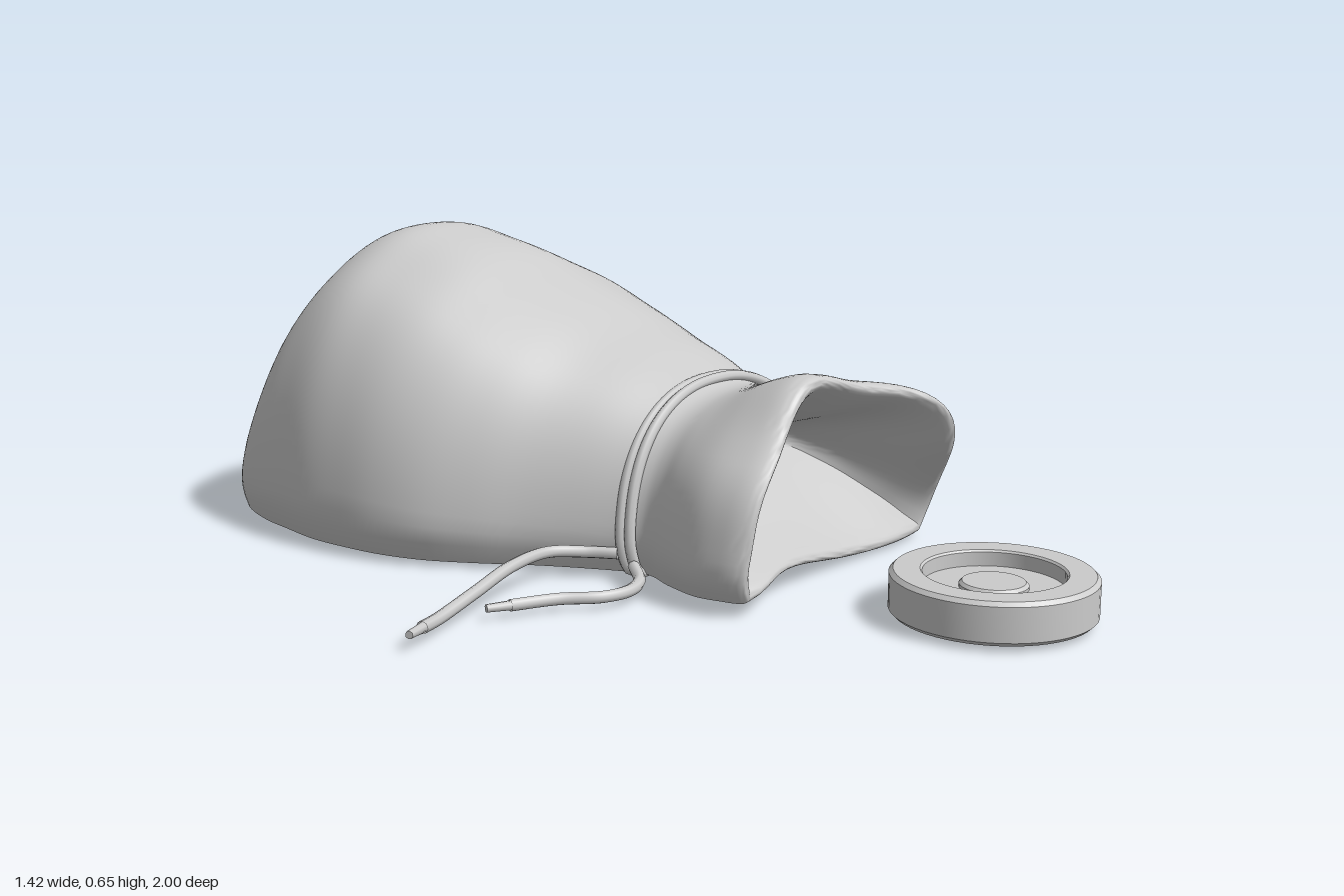
import * as THREE from 'three';
import { toCreasedNormals } from 'three/addons/utils/BufferGeometryUtils.js';

const grey = new THREE.MeshStandardMaterial({ color: 0xcccccc, side: THREE.DoubleSide });
const { smoothstep, lerp } = THREE.MathUtils;

// Cross-sections from the closed end to the lip, then back inside the mouth.
// Each: z, min x, max x, top y, peak x, floor y
const ROWS = [
  [-1.0, 0.01, 0.01, 0.07, 0.01, 0.07],
  [-0.995, -0.1, 0.1, 0.125, 0.01, 0.02],
  [-0.965, -0.175, 0.18, 0.195, 0.02, 0.015],
  [-0.9, -0.245, 0.29, 0.32, 0.04, 0.015],
  [-0.8, -0.3, 0.46, 0.505, 0.07, 0.015],
  [-0.7, -0.33, 0.62, 0.615, 0.08, 0.015],
  [-0.6, -0.355, 0.68, 0.656, 0.08, 0.015],
  [-0.5, -0.36, 0.705, 0.64, 0.08, 0.015],
  [-0.4, -0.355, 0.71, 0.61, 0.09, 0.015],
  [-0.3, -0.33, 0.69, 0.56, 0.11, 0.015],
  [-0.2, -0.28, 0.66, 0.51, 0.13, 0.015],
  [-0.1, -0.22, 0.62, 0.46, 0.15, 0.015],
  [0.0, -0.17, 0.57, 0.42, 0.16, 0.015],
  [0.1, -0.13, 0.5, 0.375, 0.17, 0.015],
  [0.15, -0.135, 0.485, 0.36, 0.17, 0.015],
  [0.21, -0.175, 0.51, 0.37, 0.16, 0.015],
  [0.3, -0.23, 0.54, 0.4, 0.13, 0.013],
  [0.37, -0.24, 0.545, 0.418, 0.11, 0.012],
  [0.41, -0.23, 0.535, 0.415, 0.11, 0.012],
  [0.413, -0.21, 0.515, 0.395, 0.12, 0.03],
  [0.37, -0.18, 0.48, 0.36, 0.13, 0.06],
  [0.31, -0.13, 0.43, 0.325, 0.14, 0.11],
  [0.25, -0.06, 0.37, 0.295, 0.15, 0.17],
  [0.2, 0.02, 0.29, 0.27, 0.155, 0.22],
  [0.18, 0.155, 0.155, 0.25, 0.155, 0.25],
];
const rowCurve = cols => new THREE.CatmullRomCurve3(
  ROWS.map(r => new THREE.Vector3(...cols.map(c => r[c]))), false, 'catmullrom', 0.5);
const spanCurve = rowCurve([0, 1, 2]), heightCurve = rowCurve([3, 4, 5]);
const ARCH = 60, FLOOR = 20, RING = ARCH + FLOOR, STEPS = 120;
const bump = (x, c, w) => Math.exp(-(((x - c) / w) ** 2));

// Point on the sack: u along the sections, j around the ring
function sackPoint(u, j) {
  const { x: z, y: x0, z: x1 } = spanCurve.getPoint(u);
  const { x: top, y: peak, z: floor } = heightCurve.getPoint(u);
  const mouth = smoothstep(z, 0.16, 0.4);
  let x = lerp(x0, x1, (j - ARCH) / FLOOR), y = floor;
  if (j <= ARCH) {
    const t = (j / ARCH) * Math.PI, c = Math.cos(t), s = Math.max(0, Math.sin(t));
    // slightly fuller sections towards the closed end
    const e = (c < 0 ? 0.85 + 0.1 * mouth : 0.92) - 0.05 * (1 - smoothstep(z, -0.95, -0.55));
    // soft lumps of the filling, and gathered folds in front of the neck
    const body = bump(z, -0.5, 0.32);
    const lump = body * (0.03 * bump(t, 0.5, 0.28) - 0.022 * bump(t, 1.15, 0.25) - 0.008 * bump(t, 2.0, 0.2));
    const swell = lump + 0.015 * mouth * Math.sin(t * 7 + 1.89) * s;
    x = peak + (c < 0 ? x0 - peak : x1 - peak) * Math.abs(c) ** e + c * swell;
    y = floor + (top - floor) * s ** e + s * swell;
  }
  // tuck the sides into the base
  const low = Math.max(0, 1 - y / 0.1) ** 2;
  x += (peak - x) * low * (x < peak ? 0.11 : 0.07);
  // the underside of the mouth arches up towards its middle
  y += 0.045 * mouth * bump(x, -0.04, 0.22) * Math.max(0, 1 - y / 0.3);
  // uneven lip
  const dz = 0.11 * bump(x, 0.42, 0.14) * bump(y, 0.27, 0.19)
    + 0.03 * bump(x, -0.17, 0.1) - 0.015 * bump(y, 0, 0.1);
  return new THREE.Vector3(x, y, z + smoothstep(z, 0.2, 0.42) * dz);
}

function sackGeometry() {
  const pos = [], index = [];
  for (let i = 0; i <= STEPS; i++)
    for (let j = 0; j < RING; j++) pos.push(...sackPoint(i / STEPS, j).toArray());
  for (let i = 0; i < STEPS; i++)
    for (let j = 0; j < RING; j++) {
      const k = (j + 1) % RING;
      const a = i * RING + j, b = i * RING + k, d = a + RING, e = b + RING;
      index.push(a, b, d, b, e, d);
    }
  const g = new THREE.BufferGeometry();
  g.setAttribute('position', new THREE.Float32BufferAttribute(pos, 3));
  g.setIndex(index);
  return toCreasedNormals(g, 0.9);
}

function add(parent, name, geometry) {
  const mesh = new THREE.Mesh(geometry, grey);
  mesh.name = name;
  parent.add(mesh);
  return mesh;
}

// Cord strand around the neck, slanting from the left side to the right
function neckLoop(shift, slant) {
  const pts = [];
  for (let j = 0; j < RING; j += 2) {
    const p = sackPoint(13.4 / (ROWS.length - 1), j);
    p.x = 0.175 + (p.x - 0.175) * 1.035;
    p.y = Math.max(0.021, p.y * 1.02);
    p.z = 0.118 + shift + (p.x - 0.175) * slant - (p.y - 0.19) * 0.08;
    pts.push(p);
  }
  return new THREE.TubeGeometry(new THREE.CatmullRomCurve3(pts, true), 120, 0.0115, 8, true);
}

// Loose cord end with a thin tip
function cordEnd(parent, name, points) {
  const group = new THREE.Group();
  group.name = name;
  const pts = points.map(p => new THREE.Vector3(...p));
  add(group, 'strand', new THREE.TubeGeometry(new THREE.CatmullRomCurve3(pts), 60, 0.0125, 8));
  const end = pts.at(-1), dir = end.clone().sub(pts.at(-2)).normalize();
  const tip = add(group, 'tip', new THREE.CylinderGeometry(0.008, 0.01, 0.06, 8));
  tip.position.copy(end).addScaledVector(dir, 0.018);
  tip.quaternion.setFromUnitVectors(new THREE.Vector3(0, 1, 0), dir);
  parent.add(group);
}

export function createModel() {
  const model = new THREE.Group();
  model.name = 'pouchAndDisc';
  add(model, 'sack', sackGeometry());

  // Drawstring
  const cord = new THREE.Group();
  cord.name = 'drawstring';
  add(cord, 'neckLoopBack', neckLoop(-0.009, 0.11));
  add(cord, 'neckLoopFront', neckLoop(0.009, 0.095));
  cordEnd(cord, 'longEnd', [[-0.14, 0.06, 0.08], [-0.17, 0.06, 0.02], [-0.23, 0.066, -0.025],
    [-0.35, 0.068, -0.02], [-0.48, 0.05, -0.005], [-0.6, 0.034, 0.01], [-0.665, 0.036, 0.026]]);
  cordEnd(cord, 'shortEnd', [[-0.14, 0.04, 0.12], [-0.19, 0.032, 0.17], [-0.25, 0.03, 0.188],
    [-0.31, 0.03, 0.17], [-0.37, 0.03, 0.11], [-0.455, 0.03, 0.06]]);
  model.add(cord);

  // Disc: raised rim, recess and centre boss on both faces
  const half = [[0, 0.022], [0.06, 0.022], [0.066, 0.016], [0.066, 0.01], [0.135, 0.01],
    [0.135, 0.038], [0.139, 0.042], [0.19, 0.042], [0.198, 0.034]];
  const profile = [...half.map(([r, y]) => [r, -y]), ...[...half].reverse()];
  const disc = add(model, 'disc', toCreasedNormals(
    new THREE.LatheGeometry(profile.map(p => new THREE.Vector2(...p)), 56), 0.5));
  disc.position.set(0.085, 0.058, 0.798);
  return model;
}
